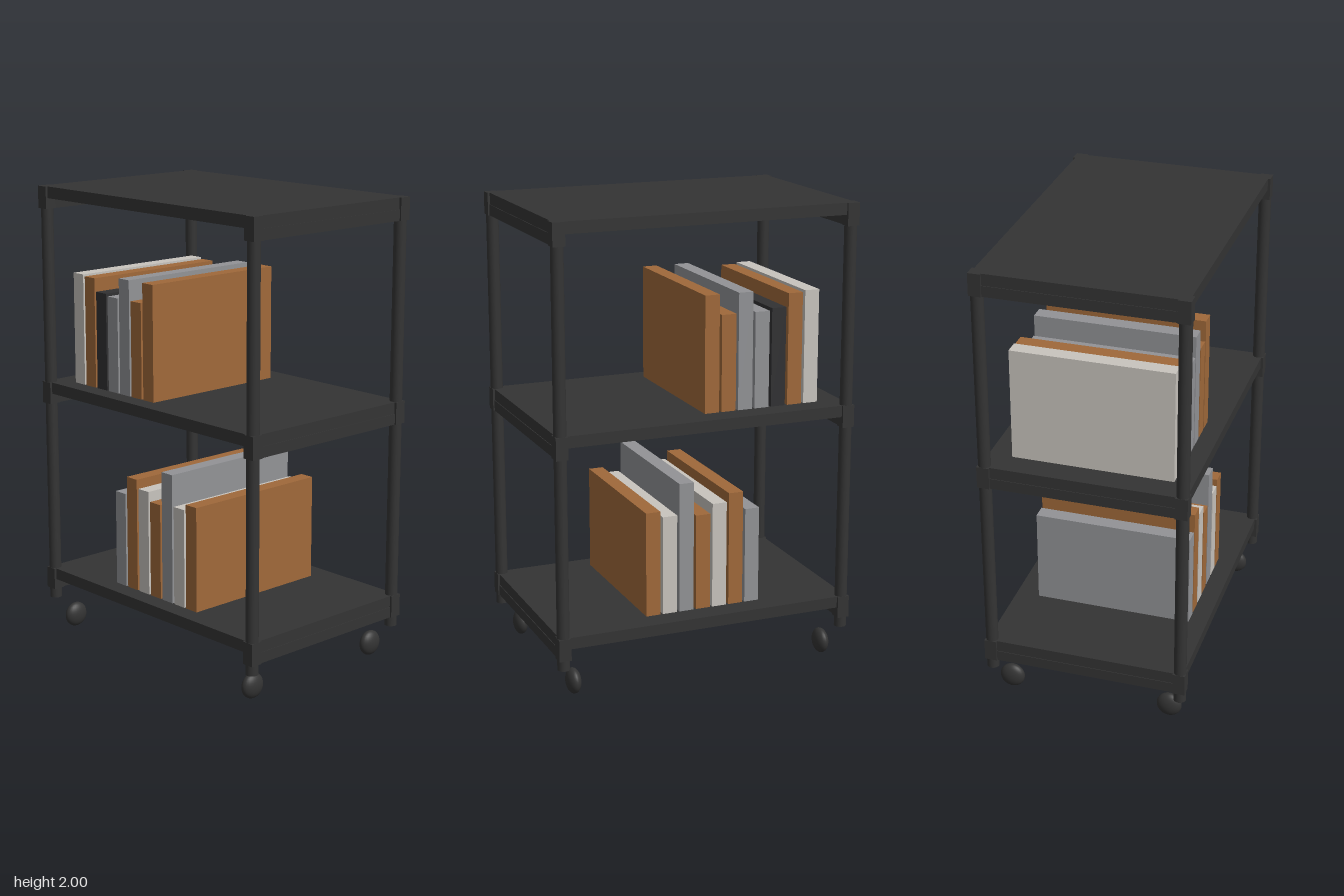
import * as THREE from 'three';

const mat = (name, color) => {
  const m = new THREE.MeshStandardMaterial({ color });
  m.name = name;
  return m;
};

export function createModel() {
  const cart = new THREE.Group();
  cart.name = 'rollingShelfCart';

  const metal = mat('charcoal metal', 0x343434);
  const black = mat('black cover', 0x313133);
  const brown = mat('brown cover', 0xa0693a);
  const grey = mat('grey cover', 0x929396);
  const light = mat('light cover', 0xc8c4be);

  const add = (name, geometry, material, x, y, z) => {
    const mesh = new THREE.Mesh(geometry, material);
    mesh.name = name;
    mesh.position.set(x, y, z);
    cart.add(mesh);
    return mesh;
  };

  const postX = 0.64, postZ = 0.418, postW = 0.053;
  const shelfTops = [0.28, 1.14, 2.0];

  // Corner posts and caster wheels
  const postGeo = new THREE.CylinderGeometry(postW / 2, postW / 2, 1.858, 24);
  const wheelGeo = new THREE.SphereGeometry(0.055, 24, 16);
  wheelGeo.scale(0.56, 1, 1);
  for (const sx of [-1, 1]) {
    for (const sz of [-1, 1]) {
      add('cornerPost', postGeo, metal, sx * postX, 1.069, sz * postZ);
      add('casterWheel', wheelGeo, metal, sx * 0.577, 0.055, sz * 0.355);
    }
  }

  // Shelves with side rails and square corner connectors
  const shelfGeo = new THREE.BoxGeometry(1.314, 0.05, 0.868);
  const railGeo = new THREE.BoxGeometry(0.04, 0.046, 0.79);
  const blockGeo = new THREE.BoxGeometry(postW, 0.096, postW);
  for (const top of shelfTops) {
    add('shelf', shelfGeo, metal, 0, top - 0.025, 0);
    for (const sx of [-1, 1]) {
      add('sideRail', railGeo, metal, sx * 0.64, top - 0.073, 0);
      for (const sz of [-1, 1]) {
        add('cornerConnector', blockGeo, metal, sx * postX, top - 0.048, sz * postZ);
      }
    }
  }

  // Rows of books: [height, cover] from the model's right to its left
  const bookRow = (startX, baseY, books) => books.forEach(([h, cover], i) => {
    add('book', new THREE.BoxGeometry(0.065, h, 0.688), cover,
      startX + i * 0.0758, baseY + h / 2, 0.011);
  });
  bookRow(-0.513, 1.14, [
    [0.487, light], [0.48, brown], [0.423, black], [0.413, grey],
    [0.5, grey], [0.413, brown], [0.5, brown],
  ]);
  bookRow(-0.249, 0.28, [
    [0.42, grey], [0.5, brown], [0.462, light], [0.42, brown],
    [0.568, grey], [0.432, light], [0.458, brown],
  ]);

  return cart;
}
